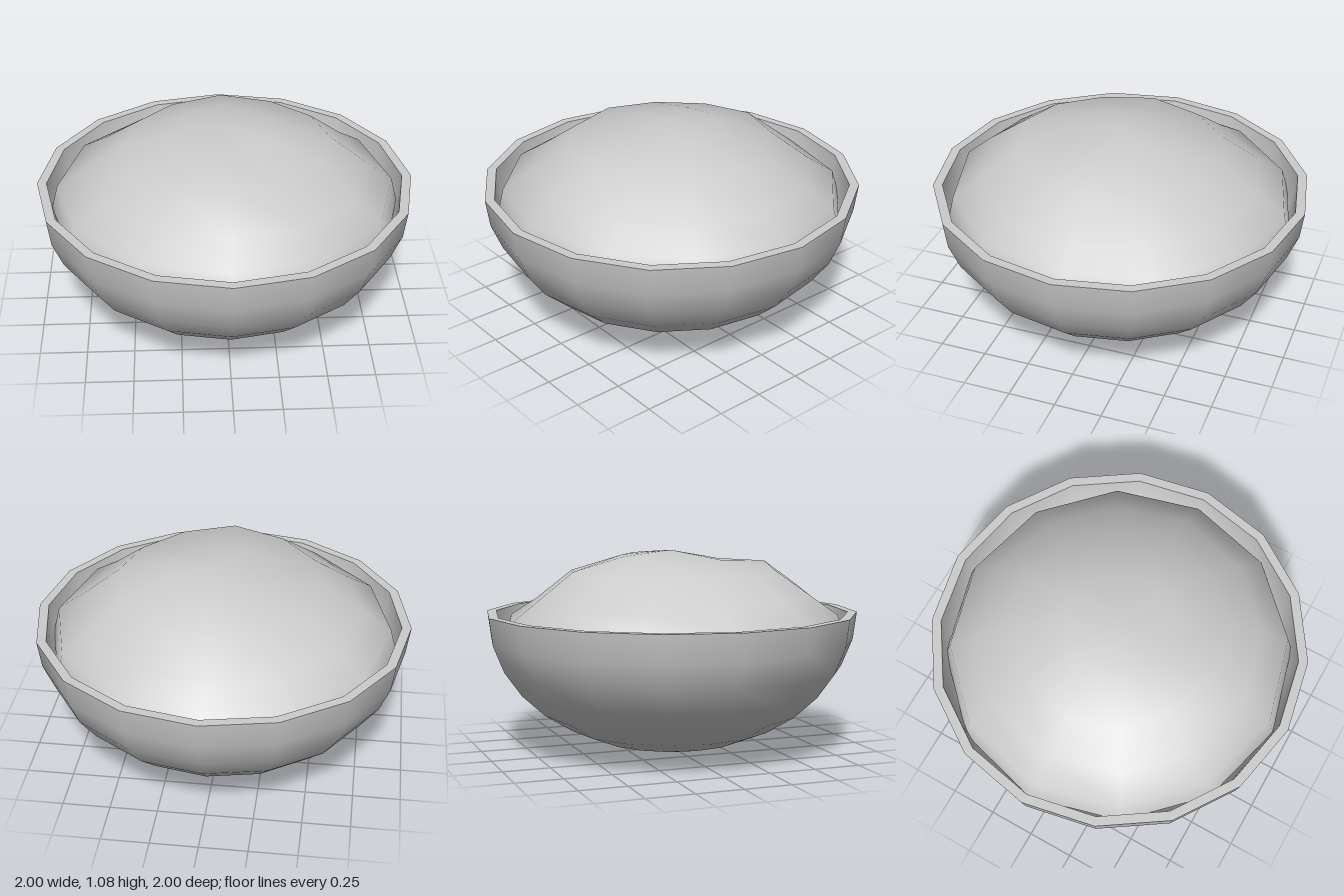
import * as THREE from 'three';

const material = new THREE.MeshStandardMaterial({ color: 0xcccccc });

// Quarter-ellipse profile from the bottom centre up to the rim
function bowlProfile(radius, depth, rimY, steps = 8) {
  return Array.from({ length: steps + 1 }, (_, i) => {
    const a = (i / steps) * Math.PI / 2;
    return new THREE.Vector2(radius * Math.sin(a), rimY - depth * Math.cos(a));
  });
}

function addMesh(group, name, geometry) {
  const mesh = new THREE.Mesh(geometry, material);
  mesh.name = name;
  group.add(mesh);
}

// Domed filling: each ring has a radius and heights towards +z, +x, -z, -x
function fillingGeometry(sides = 12) {
  const rings = [
    [0.93, 0.60, 0.60, 0.60, 0.60],
    [0.895, 0.75, 0.735, 0.71, 0.73],
    [0.75, 0.87, 0.84, 0.82, 0.83],
    [0.55, 1.01, 1.00, 0.975, 0.97],
    [0.27, 1.03, 1.06, 1.05, 1.025],
    [0, 1.08, 1.08, 1.08, 1.08],
  ];
  const profile = rings.map(([r]) => new THREE.Vector2(r, 0));
  const geometry = new THREE.LatheGeometry(profile, sides);
  const pos = geometry.attributes.position;
  for (let i = 0; i < pos.count; i++) {
    const ring = i % rings.length;
    const turn = (Math.floor(i / rings.length) % sides) / sides * 4;
    const quarter = Math.floor(turn);
    const t = (1 - Math.cos((turn - quarter) * Math.PI)) / 2;
    const heights = rings[ring].slice(1);
    let y = THREE.MathUtils.lerp(heights[quarter], heights[(quarter + 1) % 4], t);
    // Gentle dips between the lumps
    if (ring === 2 || ring === 3) y -= 0.02 * Math.sin(turn * Math.PI) ** 2;
    pos.setY(i, y);
  }
  geometry.computeVertexNormals();
  // Match the normals across the seam and at the peak
  const n = geometry.attributes.normal;
  const last = sides * rings.length;
  for (let r = 0; r < rings.length; r++) {
    const v = new THREE.Vector3().fromBufferAttribute(n, r)
      .add(new THREE.Vector3().fromBufferAttribute(n, last + r)).normalize();
    n.setXYZ(r, v.x, v.y, v.z);
    n.setXYZ(last + r, v.x, v.y, v.z);
  }
  for (let i = rings.length - 1; i < n.count; i += rings.length) n.setXYZ(i, 0, 1, 0);
  return geometry;
}

export function createModel() {
  const group = new THREE.Group();
  group.name = 'filledBowl';
  const sides = 16, rimY = 0.75, inner = 0.95;

  // Bowl shell, with separate surfaces so the rim stays crisp
  const bowl = new THREE.Group();
  bowl.name = 'bowl';
  addMesh(bowl, 'bowlOutside', new THREE.LatheGeometry(bowlProfile(1, 0.75, rimY), sides));
  addMesh(bowl, 'bowlRim', new THREE.LatheGeometry(
    [new THREE.Vector2(1, rimY), new THREE.Vector2(inner, rimY)], sides));
  addMesh(bowl, 'bowlInside', new THREE.LatheGeometry(
    bowlProfile(inner, 0.7, rimY).reverse(), sides));
  group.add(bowl);

  addMesh(group, 'filling', fillingGeometry());
  return group;
}
